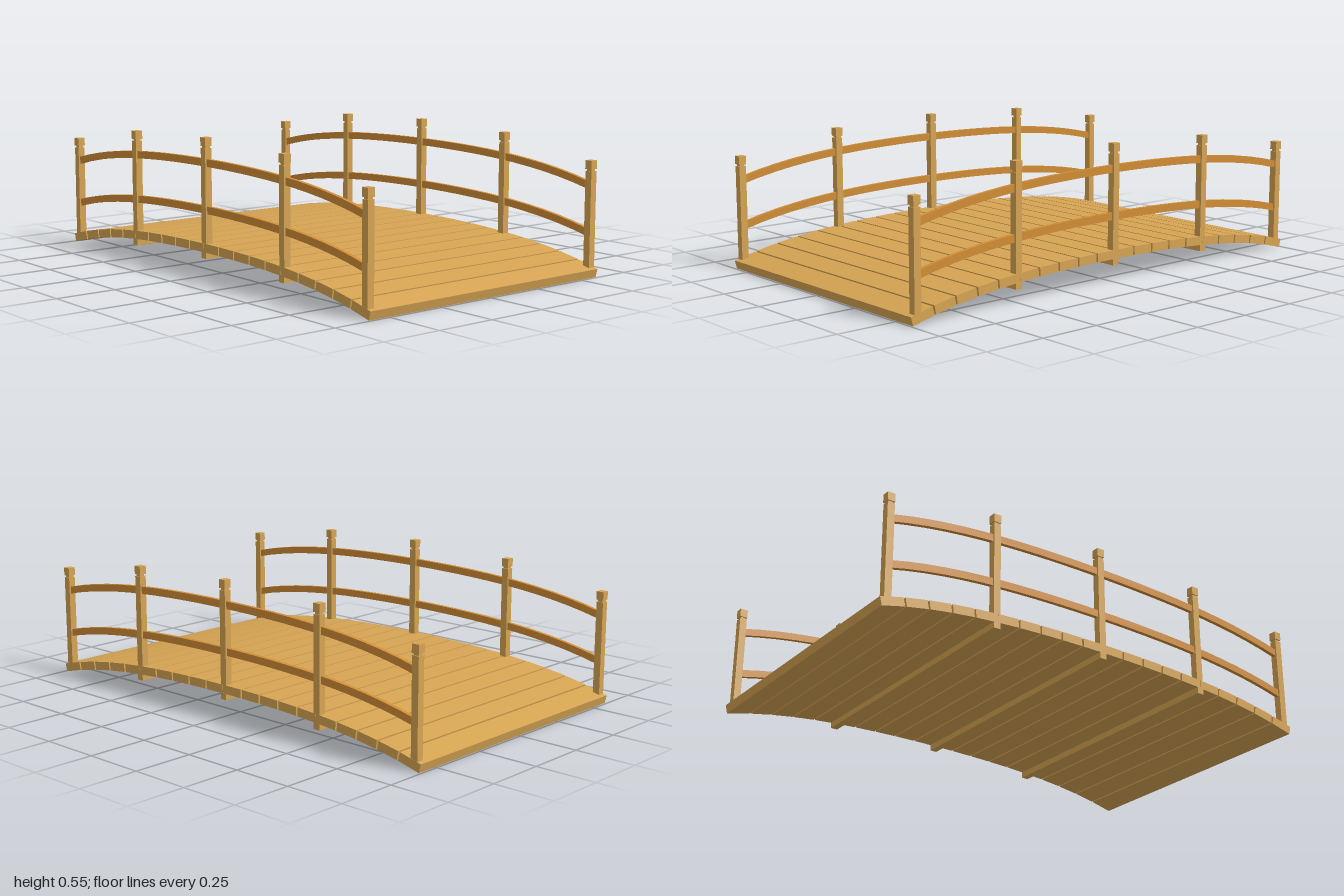
import * as THREE from 'three';

const HALF_WIDTH = 0.59, DECK_TOP = 0.13, THICK = 0.035, POST_X = 0.575;

// Height of the bridge arch below its crown at distance z from the middle
const drop = (z) => 0.054 * z * z + 0.042 * z ** 4;

export function createModel() {
  const wood = new THREE.MeshStandardMaterial({ color: 0xd6a453 });
  wood.name = 'light wood';
  const railWood = new THREE.MeshStandardMaterial({ color: 0xd18d35 });
  railWood.name = 'orange wood';

  const bridge = new THREE.Group();
  bridge.name = 'archedFootbridge';

  const box = (parent, name, w, h, d, x, y, z) => {
    const mesh = new THREE.Mesh(new THREE.BoxGeometry(w, h, d), wood);
    mesh.name = name;
    mesh.position.set(x, y, z);
    parent.add(mesh);
    return mesh;
  };

  // Deck planks, each tilted along the arch
  const deck = new THREE.Group();
  deck.name = 'deck';
  bridge.add(deck);
  for (let i = -10; i < 10; i++) {
    const z0 = i === -10 ? -1 : i * 0.1 + 0.004;
    const z1 = i === 9 ? 1 : (i + 1) * 0.1 - 0.004;
    const y0 = DECK_TOP - drop(z0), y1 = DECK_TOP - drop(z1);
    const tilt = Math.atan2(y0 - y1, z1 - z0);
    const plank = box(deck, 'plank', HALF_WIDTH * 2, THICK, Math.hypot(z1 - z0, y1 - y0),
      0, (y0 + y1) / 2 - Math.cos(tilt) * THICK / 2, (z0 + z1) / 2 - Math.sin(tilt) * THICK / 2);
    plank.rotation.x = tilt;
  }

  // Cross beams under the deck
  for (const z of [-0.5, 0, 0.5]) {
    box(bridge, 'crossBeam', HALF_WIDTH * 2, 0.03, 0.03, 0, 0.085 - drop(z), z);
  }

  // Posts with a narrow neck and a square cap
  const addPost = (x, z) => {
    const post = new THREE.Group();
    post.name = 'post';
    post.position.set(x, -drop(z), z);
    bridge.add(post);
    const bottom = Math.abs(z) > 0.9 ? 0.113 : 0.07, top = 0.508;
    box(post, 'postShaft', 0.03, top - bottom, 0.03, 0, (top + bottom) / 2, 0);
    box(post, 'postNeck', 0.022, 0.012, 0.022, 0, 0.512, 0);
    box(post, 'postCap', 0.032, 0.034, 0.032, 0, 0.533, 0);
  };

  // Curved rail following the arch
  const railGeometry = (y) => {
    const upper = [], lower = [], steps = 24, height = 0.03;
    for (let i = 0; i <= steps; i++) {
      const z = -0.965 + (1.93 * i) / steps;
      upper.push(new THREE.Vector2(z, y + height / 2 - drop(z)));
      lower.push(new THREE.Vector2(z, y - height / 2 - drop(z)));
    }
    const shape = new THREE.Shape([...lower, ...upper.reverse()]);
    const geometry = new THREE.ExtrudeGeometry(shape, { depth: 0.016, bevelEnabled: false });
    return geometry.translate(0, 0, -0.008).rotateY(-Math.PI / 2);
  };

  for (const side of [-1, 1]) {
    for (const z of [-0.968, -0.5, 0, 0.5, 0.968]) addPost(side * (POST_X - 0.001), z);
    for (const [name, y] of [['handRail', 0.45], ['middleRail', 0.263]]) {
      const rail = new THREE.Mesh(railGeometry(y), railWood);
      rail.name = name;
      rail.position.x = side * (POST_X - 0.001);
      bridge.add(rail);
    }
  }

  return bridge;
}
